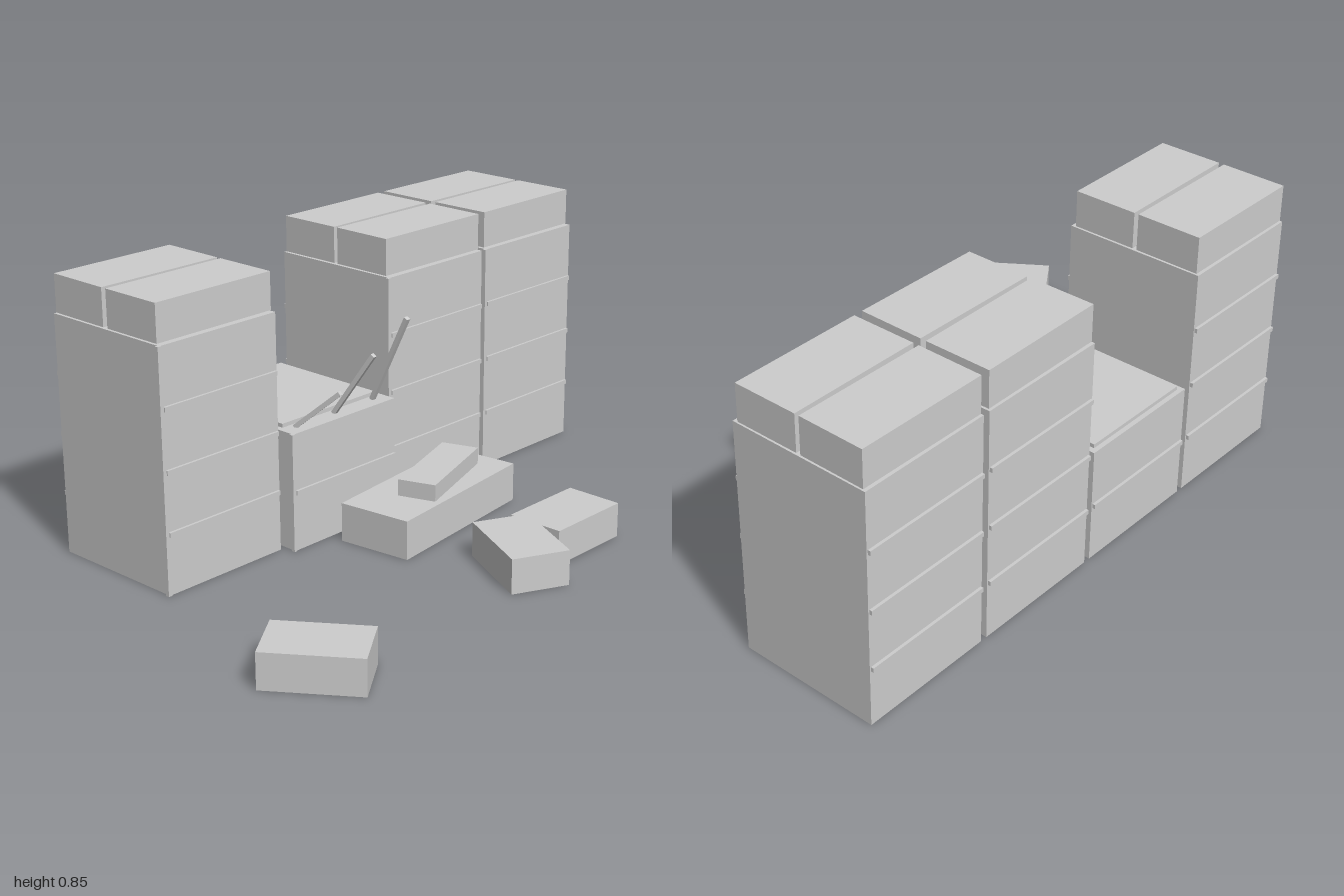
import * as THREE from 'three';

export function createModel() {
  const model = new THREE.Group();
  const grey = new THREE.MeshStandardMaterial({ color: 0xcccccc });
  grey.name = 'plain grey';

  // Box given by its centre on the ground plane, base height, size and turn about y
  function box(parent, name, [w, h, d], [x, y, z], turn = 0) {
    const mesh = new THREE.Mesh(new THREE.BoxGeometry(w, h, d), grey);
    mesh.name = name;
    mesh.position.set(x, y + h / 2, z);
    mesh.rotation.y = turn;
    parent.add(mesh);
    return mesh;
  }

  // Stack of crate layers: body, corner post and battens on front and back
  function stack(name, x, layers, front) {
    const group = new THREE.Group();
    group.name = name;
    const back = -0.625;
    const height = layers * 0.1825;
    box(group, 'stackBody', [0.428, height, front - back], [x, 0, (front + back) / 2]);
    box(group, 'cornerPost', [0.012, height, 0.012], [x - 0.216, 0, front - 0.002]);
    for (let i = 1; i < layers; i++) {
      for (const z of [front + 0.002, back - 0.003]) {
        box(group, 'batten', [0.42, 0.014, 0.012], [x, i * 0.1835 - 0.007, z]);
      }
    }
    model.add(group);
    return group;
  }

  // Tall stacks, each with two loose crates on top
  [[-0.57, 0.004], [0.33, -0.006], [0.78, 0.005]].forEach(([x, turn], i) => {
    const group = stack('tallStack' + (i + 1), x, 4, -0.176);
    box(group, 'topCrateFront', [0.422, 0.114, 0.204], [x, 0.733, -0.292], turn);
    box(group, 'topCrateBack', [0.422, 0.114, 0.208], [x, 0.733, -0.514], -turn);
  });

  // Low stack with a lid panel
  const low = stack('lowStack', -0.12, 2, -0.136);
  box(low, 'lidPanel', [0.39, 0.012, 0.41], [-0.12, 0.365, -0.405]);

  // Sticks leaning out over the low stack
  const sticks = [
    [[-0.283, 0.365, -0.18], [-0.24, 0.49, -0.037]],
    [[-0.122, 0.365, -0.18], [-0.101, 0.57, -0.037]],
    [[0.043, 0.365, -0.18], [0.043, 0.65, -0.037]],
  ];
  for (const [a, b] of sticks) {
    const start = new THREE.Vector3(...a);
    const end = new THREE.Vector3(...b);
    const stick = new THREE.Mesh(new THREE.BoxGeometry(0.014, 0.014, start.distanceTo(end)), grey);
    stick.name = 'stick';
    stick.position.copy(start).lerp(end, 0.5);
    stick.lookAt(end);
    model.add(stick);
  }

  // Large crate with a small one lying on it
  box(model, 'longCrate', [0.567, 0.121, 0.238], [0.107, 0, -0.002], 0.115);
  box(model, 'smallCrate', [0.34, 0.052, 0.12], [0.148, 0.121, -0.002], 0.325);

  // Loose blocks on the ground
  box(model, 'looseBlockLeft', [0.283, 0.107, 0.184], [-0.845, 0, 0.465], -0.963);
  box(model, 'looseBlockTurned', [0.281, 0.107, 0.178], [0.005, 0, 0.435], 1.107);
  box(model, 'looseBlockStraight', [0.284, 0.107, 0.18], [0.248, 0, 0.406]);

  return model;
}
